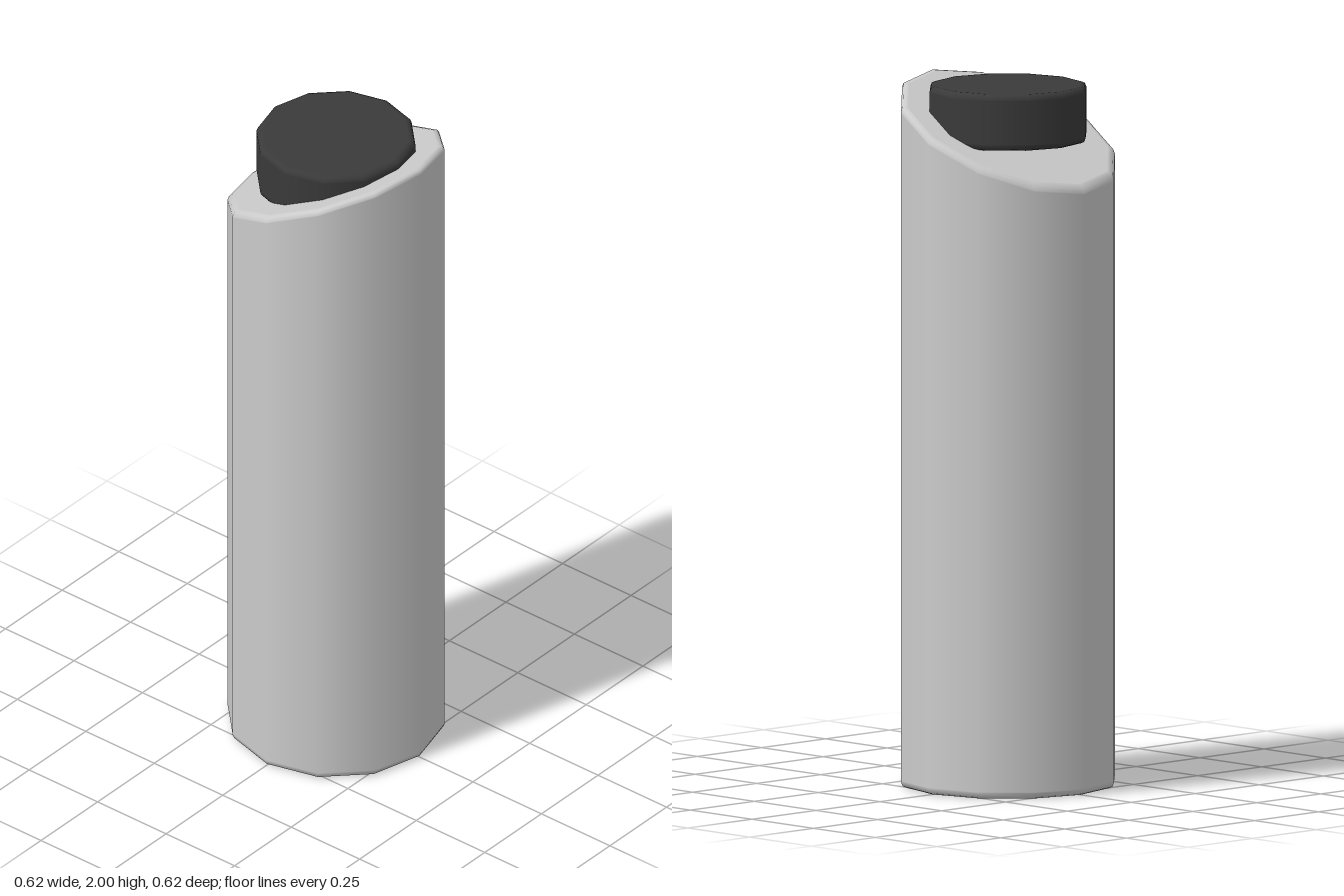
import * as THREE from 'three';

const SIDES = 12;

// Twelve-sided cylinder with softly rounded rims; short support edges keep walls and ends evenly shaded.
function roundedCylinder(r, y0, y1, b) {
  const e = 0.004, m = b * 0.293;
  const profile = [
    [0, y0], [r - b - e, y0], [r - b, y0], [r - m, y0 + m], [r, y0 + b], [r, y0 + b + e],
    [r, y1 - b - e], [r, y1 - b], [r - m, y1 - m], [r - b, y1], [r - b - e, y1], [0, y1],
  ].map(([x, y]) => new THREE.Vector2(x, y));
  return new THREE.LatheGeometry(profile, SIDES);
}

// Tilts everything above a height by shearing it along x, and corrects the normals.
function slantTop(geometry, above, slope) {
  const p = geometry.attributes.position, n = geometry.attributes.normal;
  const v = new THREE.Vector3();
  for (let i = 0; i < p.count; i++) {
    if (p.getY(i) < above) continue;
    p.setY(i, p.getY(i) + slope * p.getX(i));
    v.fromBufferAttribute(n, i);
    v.x -= slope * v.y;
    v.normalize();
    n.setXYZ(i, v.x, v.y, v.z);
  }
  return geometry;
}

export function createModel() {
  const group = new THREE.Group();
  const add = (name, geometry, color) => {
    const mesh = new THREE.Mesh(geometry, new THREE.MeshStandardMaterial({ color }));
    mesh.name = name;
    group.add(mesh);
  };

  // Tall body with a slanted top, higher on the model's left
  add('body', slantTop(roundedCylinder(0.31, 0, 1.867, 0.016), 1, 0.45), 0xcccccc);

  // Dark level button partly sunk into the slanted top
  add('button', roundedCylinder(0.227, 1.83, 1.99, 0.014), 0x3a3a3a);

  return group;
}
